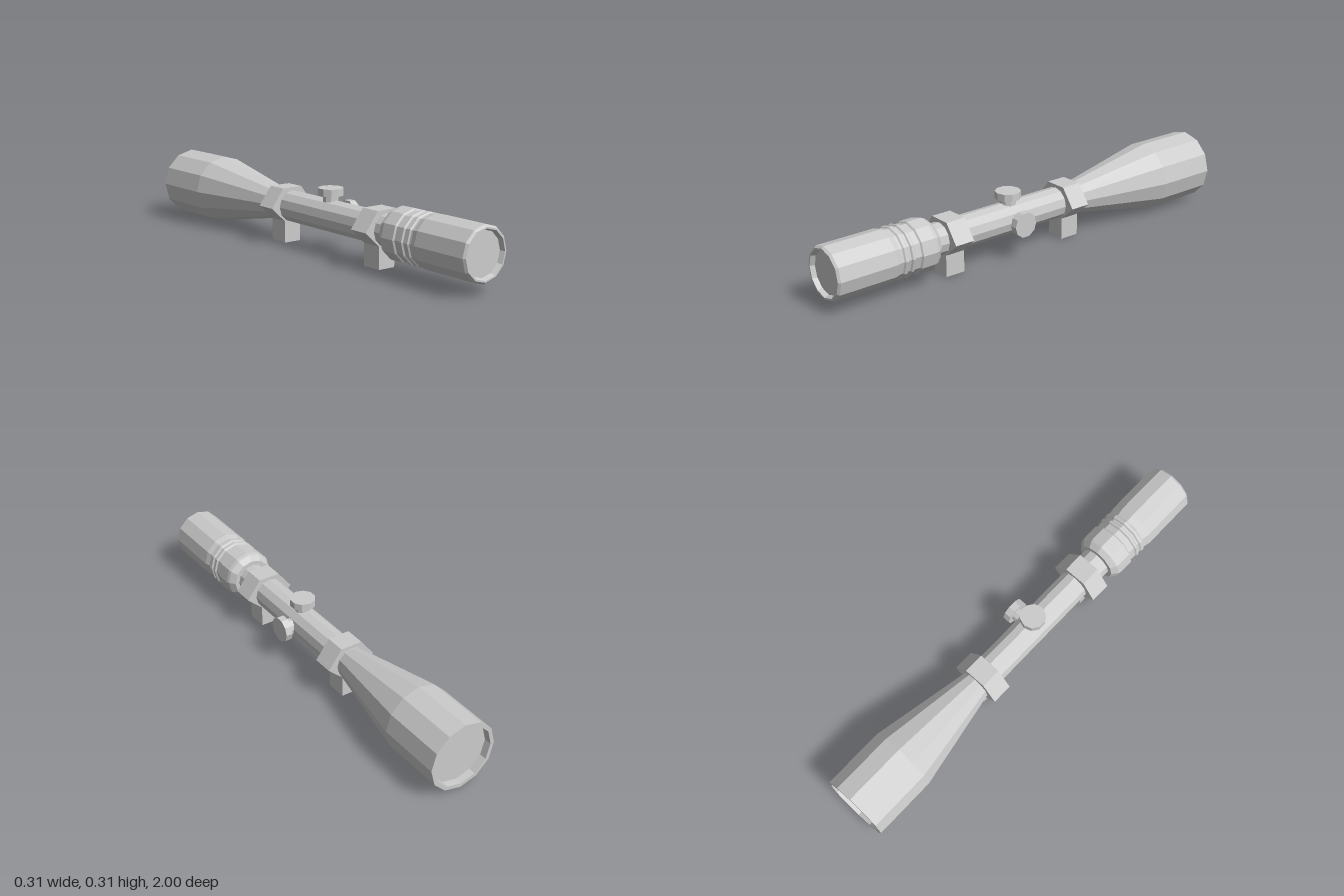
import * as THREE from 'three';

const AXIS_Y = 0.162;

export function createModel() {
  const group = new THREE.Group();
  const material = new THREE.MeshStandardMaterial({ color: 0xcccccc, flatShading: true });

  function add(name, geometry, parent = group) {
    const mesh = new THREE.Mesh(geometry, material);
    mesh.name = name;
    parent.add(mesh);
    return mesh;
  }

  // Twelve-sided solid of revolution about z; points are [z, radius], back to front
  function turned(name, points) {
    const profile = points.map(([z, r]) => new THREE.Vector2(r, z));
    const mesh = add(name, new THREE.LatheGeometry(profile, 12).rotateX(Math.PI / 2));
    mesh.position.y = AXIS_Y;
  }

  // Flared objective end with a recessed lens
  turned('objectiveBell', [
    [-0.97, 0], [-0.97, 0.134], [-1, 0.136], [-1, 0.153], [-0.72, 0.153], [-0.28, 0.07],
  ]);

  // Straight main tube
  turned('mainTube', [[-0.28, 0.07], [0.51, 0.07]]);

  // Eyepiece with grip grooves and a recessed lens
  turned('eyepiece', [
    [0.5, 0.07], [0.5, 0.09], [0.525, 0.11], [0.54, 0.114], [0.605, 0.114],
    [0.61, 0.107], [0.64, 0.107], [0.645, 0.114], [0.655, 0.114], [0.66, 0.107],
    [0.67, 0.107], [0.675, 0.114], [0.69, 0.114], [0.695, 0.108], [0.705, 0.108],
    [0.73, 0.115], [0.99, 0.115], [1, 0.107], [1, 0.1], [0.98, 0.093], [0.98, 0],
  ]);

  // Clamp rings with pointed side flanges, each on a square foot
  const ringDepth = 0.092;
  const clamp = new THREE.Shape([
    [0.113, 0.162], [0.05, 0.245], [-0.05, 0.245],
    [-0.113, 0.162], [-0.042, 0.097], [0.042, 0.097],
  ].map(([x, y]) => new THREE.Vector2(x, y)));
  for (const [name, z] of [['frontMount', 0.4], ['rearMount', -0.23]]) {
    const mount = new THREE.Group();
    mount.name = name;
    mount.position.z = z;
    group.add(mount);
    const ring = new THREE.ExtrudeGeometry(clamp, { depth: ringDepth, bevelEnabled: false });
    add('clampRing', ring.translate(0, 0, -ringDepth / 2), mount);
    add('foot', new THREE.BoxGeometry(0.084, 0.1, ringDepth).translate(0, 0.05, 0), mount);
  }

  // Adjustment knobs on the top and the left side
  for (const [name, turn] of [['topKnob', 0], ['sideKnob', -Math.PI / 2]]) {
    const knob = new THREE.Group();
    knob.name = name;
    knob.position.set(0, AXIS_Y, 0.085);
    knob.rotation.z = turn;
    group.add(knob);
    add('stem', new THREE.CylinderGeometry(0.035, 0.035, 0.05, 10).translate(0, 0.075, 0), knob);
    add('cap', new THREE.CylinderGeometry(0.056, 0.056, 0.032, 10).translate(0, 0.105, 0), knob);
  }

  return group;
}
